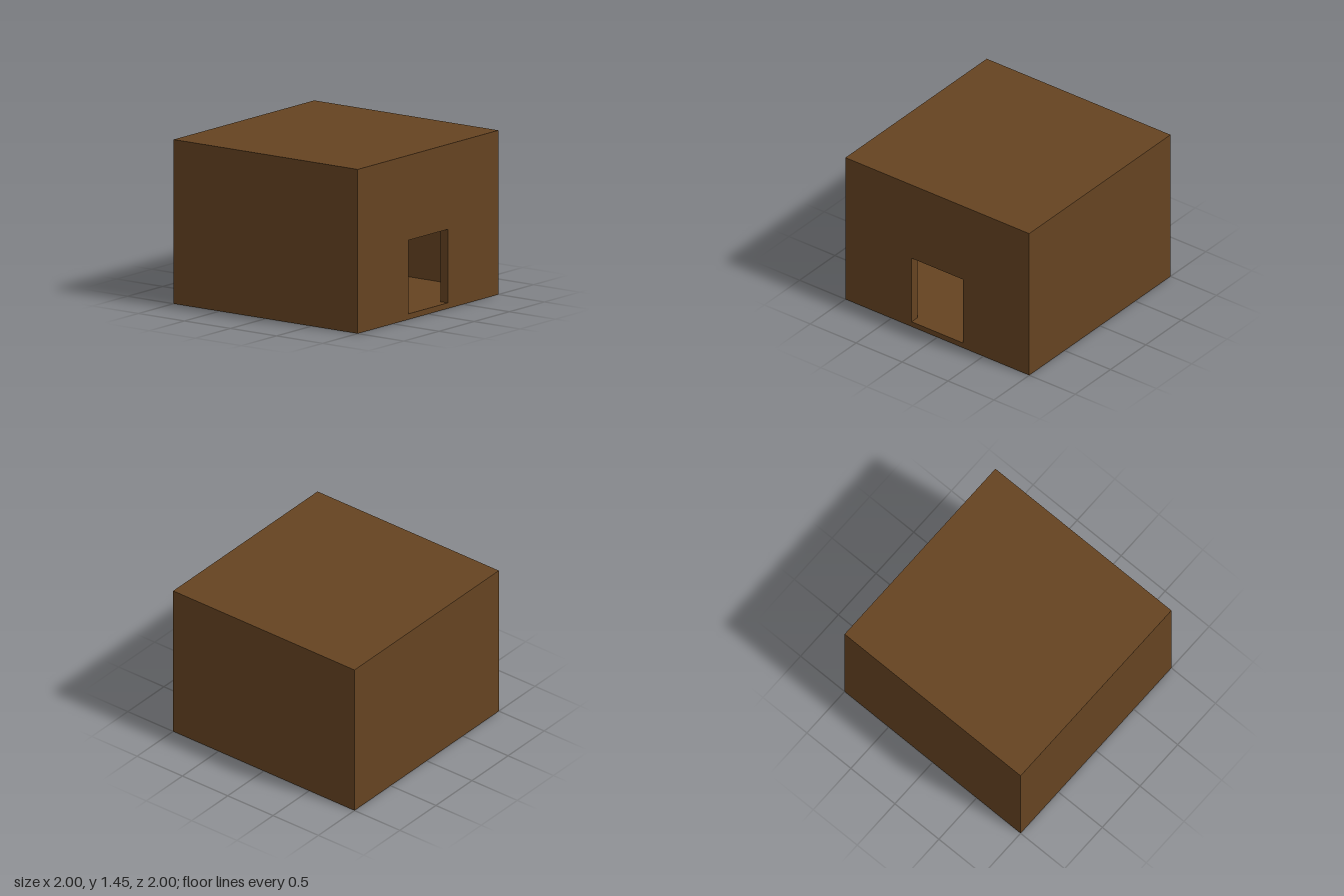
import * as THREE from 'three';

const W = 2, H = 1.45, T = 0.08, FLOOR = 0.05;

const wood = new THREE.MeshStandardMaterial({ color: 0x654321 });
const grey = new THREE.MeshStandardMaterial({ color: 0x808080 });
const cabinetWood = new THREE.MeshStandardMaterial({ color: 0x5d4037 });
const darkWood = new THREE.MeshStandardMaterial({ color: 0x2e201c });
const topWood = new THREE.MeshStandardMaterial({ color: 0x544a46 });

// Box given by its lower and upper bounds on each axis
function box(name, material, [x0, x1], [y0, y1], [z0, z1]) {
  const mesh = new THREE.Mesh(new THREE.BoxGeometry(x1 - x0, y1 - y0, z1 - z0), material);
  mesh.position.set((x0 + x1) / 2, (y0 + y1) / 2, (z0 + z1) / 2);
  mesh.name = name;
  return mesh;
}

function rectangle(PathType, x0, x1, y0, y1) {
  return new PathType([[x0, y0], [x1, y0], [x1, y1], [x0, y1]].map(p => new THREE.Vector2(...p)));
}

export function createModel() {
  const room = new THREE.Group();
  room.name = 'room';
  const h = W / 2, inner = h - T;

  // Front wall with its doorway
  const front = rectangle(THREE.Shape, -h, h, 0, H);
  front.holes.push(rectangle(THREE.Path, -0.28, 0.28, FLOOR, 0.7));
  const frontWall = new THREE.Mesh(
    new THREE.ExtrudeGeometry(front, { depth: T, bevelEnabled: false }), wood);
  frontWall.position.z = inner;
  frontWall.name = 'frontWall';
  room.add(frontWall);

  // Floor, roof and the other three walls
  room.add(
    box('floor', wood, [-h, h], [0, FLOOR], [-h, inner]),
    box('roof', wood, [-h, h], [H - FLOOR, H], [-h, inner]),
    box('backWall', wood, [-h, h], [FLOOR, H - FLOOR], [-h, -inner]),
    box('leftWall', wood, [inner, h], [FLOOR, H - FLOOR], [-inner, inner]),
    box('rightWall', wood, [-h, -inner], [FLOOR, H - FLOOR], [-inner, inner]));

  // Low bed lying on the floor
  room.add(box('bed', grey, [-0.83, -0.36], [FLOOR, 0.107], [-0.85, 0.11]));

  // Cabinet with a slatted band below its top
  const cabinet = new THREE.Group();
  cabinet.name = 'cabinet';
  cabinet.add(
    box('cabinetBody', cabinetWood, [0.14, 0.8], [FLOOR, 0.29], [-0.9, -0.5]),
    box('cabinetBand', darkWood, [0.14, 0.8], [0.29, 0.41], [-0.9, -0.51]),
    box('cabinetTop', topWood, [0.14, 0.8], [0.41, 0.43], [-0.9, -0.5]));
  for (let x = 0.15; x < 0.78; x += 0.03) {
    cabinet.add(box('cabinetSlat', darkWood, [x, x + 0.02], [0.29, 0.41], [-0.51, -0.505]));
  }
  room.add(cabinet);

  return room;
}
